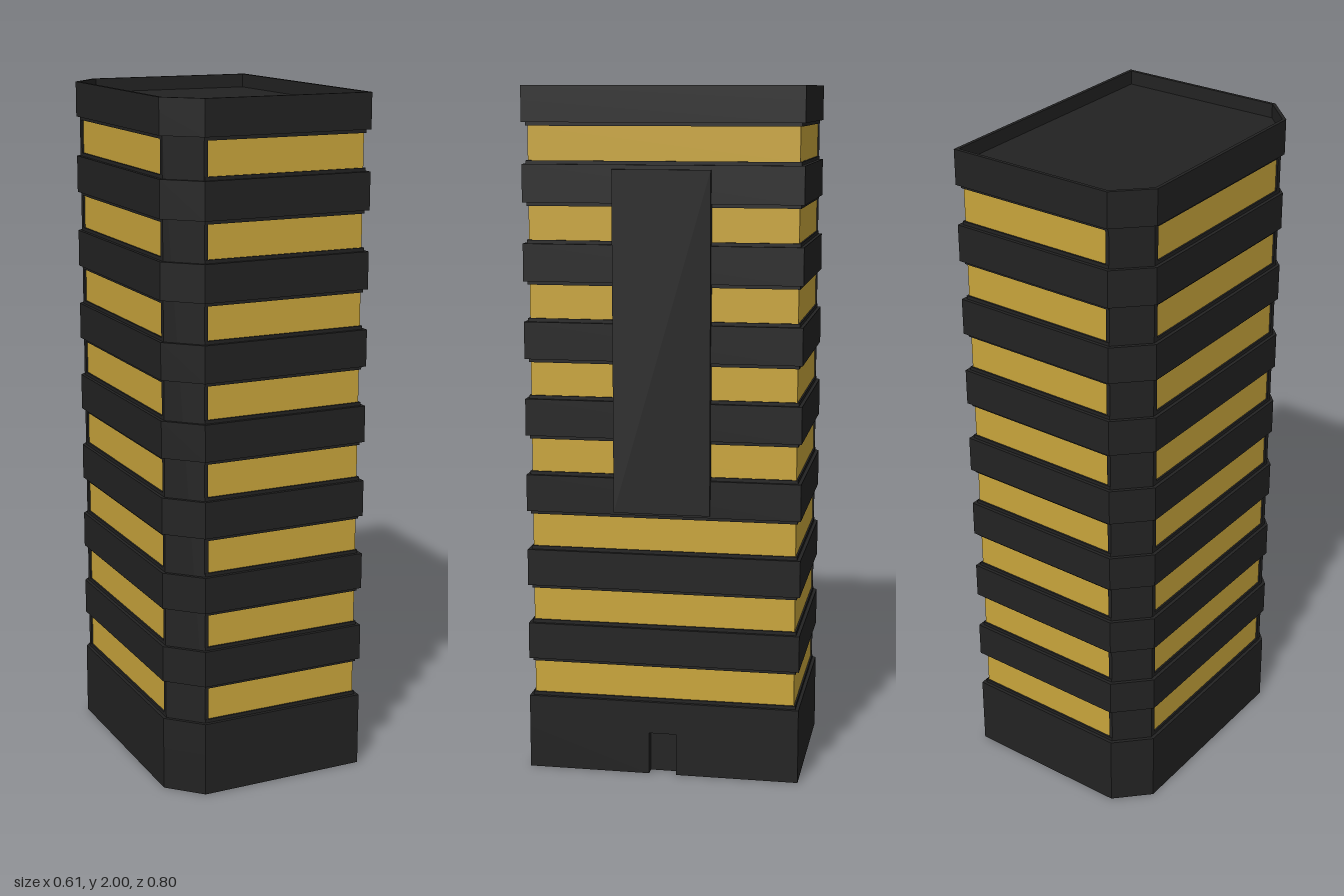
import * as THREE from 'three';

const X0 = -0.304, X1 = 0.293, Z = 0.4, CUT = 0.092;

// Tower plan with two cut corners on the -x side, shrunk evenly by d
function plan(d = 0) {
  const a = X0 + d, b = X1 - d, z = Z - d, c = CUT - 0.586 * d;
  return [[a + c, -z], [b, -z], [b, z], [a + c, z], [a, z - c], [a, c - z]];
}

const toPoints = (pts) => pts.map(([x, y]) => new THREE.Vector2(x, y));

// Upright prism from a plan outline between two heights
function prism(name, pts, y0, y1, material, hole) {
  const shape = new THREE.Shape(toPoints(pts));
  if (hole) shape.holes.push(new THREE.Path(toPoints(hole)));
  const geometry = new THREE.ExtrudeGeometry(shape, { depth: y1 - y0, bevelEnabled: false });
  geometry.rotateX(-Math.PI / 2).translate(0, y0, 0);
  const mesh = new THREE.Mesh(geometry, material);
  mesh.name = name;
  return mesh;
}

export function createModel() {
  const group = new THREE.Group();
  group.name = 'tower';
  const dark = new THREE.MeshStandardMaterial({ color: 0x222222 });
  dark.name = 'dark cladding';
  const gold = new THREE.MeshStandardMaterial({ color: 0xc9a53b });
  gold.name = 'gold glazing';

  const baseTop = 0.22, pitch = 0.2232, gap = 0.116, floors = 8, sill = 0.01;

  // Base with a doorway recess in the +x side
  const doorTop = 0.125, doorHalf = 0.04, doorDepth = 0.03;
  const notched = plan();
  notched.splice(2, 0, [X1, -doorHalf], [X1 - doorDepth, -doorHalf],
    [X1 - doorDepth, doorHalf], [X1, doorHalf]);
  group.add(prism('baseWithDoorway', notched, 0, doorTop, dark));
  group.add(prism('baseUpper', plan(), doorTop, baseTop, dark));

  // Cut-corner pillars running the full height of the glazing
  for (const s of [1, -1]) {
    const pillar = [[-0.294, 0.29], [-0.294, 0.305], [-0.209, 0.389],
      [-0.198, 0.389], [-0.198, 0.36], [-0.26, 0.29]].map(([x, z]) => [x, z * s]);
    group.add(prism('cornerPillar', pillar, baseTop, 1.9, dark));
  }

  // Window rows with thin sills, each topped by a projecting band
  for (let i = 0; i < floors; i++) {
    const y0 = baseTop + i * pitch, y1 = y0 + gap;
    group.add(prism('windowRow', plan(0.015), y0 + sill, y1 - sill, gold));
    group.add(prism('windowSill', plan(0.01), y0, y0 + sill, dark));
    group.add(prism('windowHead', plan(0.01), y1 - sill, y1, dark));
    const top = i === floors - 1 ? 1.96 : y0 + pitch;
    group.add(prism('floorBand', plan(), y1, top, dark));
  }

  // Low parapet around the sunken roof
  group.add(prism('parapet', plan(), 1.96, 2, dark, plan(0.01)));

  // Tall flat panel on the +x side
  const panel = new THREE.Mesh(new THREE.BoxGeometry(0.033, 0.98, 0.28), dark);
  panel.name = 'sidePanel';
  panel.position.set(0.2865, 1.28, 0);
  group.add(panel);

  return group;
}
